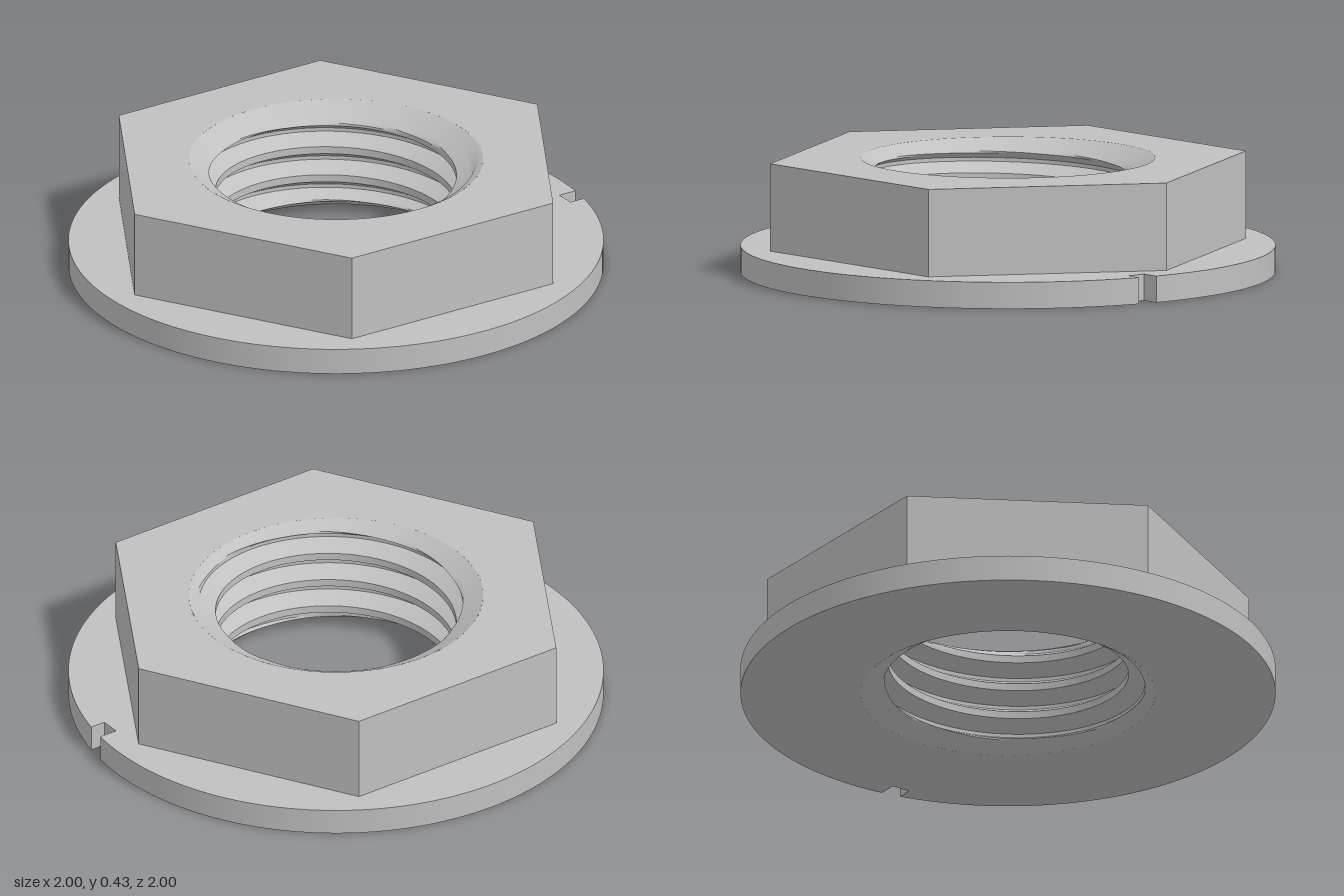
import * as THREE from 'three';
import { toCreasedNormals } from 'three/addons/utils/BufferGeometryUtils.js';

const HEIGHT = 0.43, FLANGE = 0.1, HEX_R = 0.905;
const BORE = 0.45, ROOT = 0.512, MOUTH = 0.55, PITCH = 0.115;
const SEGMENTS = 96;

// Extrude a plan shape upwards from y0, with the bore cut through it
function plate(shape, y0, y1) {
  shape.holes.push(new THREE.Path().absarc(0, 0, MOUTH, 0, Math.PI * 2, true));
  const geo = new THREE.ExtrudeGeometry(shape, { depth: y1 - y0, bevelEnabled: false, curveSegments: SEGMENTS });
  geo.rotateX(-Math.PI / 2).translate(0, y0, 0);
  return toCreasedNormals(geo, 0.4);
}

// Round flange with a small square notch in its rim
function flangeShape() {
  const shape = new THREE.Shape();
  shape.absarc(0, 0, 1, -Math.asin(0.125), Math.PI * 2 - Math.asin(0.2), false);
  shape.lineTo(0.92, -0.2);
  shape.lineTo(0.92, -0.125);
  shape.closePath();
  return shape;
}

function hexShape() {
  const points = [];
  for (let i = 0; i < 6; i++) {
    const a = (i * Math.PI) / 3;
    points.push(new THREE.Vector2(HEX_R * Math.cos(a), HEX_R * Math.sin(a)));
  }
  return new THREE.Shape(points);
}

// Bore radius: a trapezoid thread, cut away by a 120 degree countersink at each end
function boreRadius(phase, y) {
  const t = Math.abs(phase - Math.round(phase));
  const flank = THREE.MathUtils.clamp((t - 0.125) / 0.3125, 0, 1);
  const thread = BORE + (ROOT - BORE) * flank;
  const countersink = MOUTH - Math.min(y, HEIGHT - y) * Math.sqrt(3);
  return Math.max(thread, countersink);
}

// Right-hand internal thread: rows follow the helix and are clipped at both faces
function threadGeometry() {
  const steps = [-0.4375, -0.375, -0.3125, -0.25, -0.1875, -0.125, -0.04, 0.04,
    0.125, 0.1875, 0.25, 0.3125, 0.375, 0.4375];
  const phases = [];
  for (let turn = -6; turn <= 2; turn++) for (const s of steps) phases.push(turn + s);

  const positions = [];
  const point = (phase, j) => {
    const a = (j / SEGMENTS) * Math.PI * 2;
    const centre = 0.457 + PITCH * (j / SEGMENTS + 1 / 6);
    const y = THREE.MathUtils.clamp(centre + phase * PITCH, 0, HEIGHT);
    const r = boreRadius((y - centre) / PITCH, y);
    return [r * Math.cos(a), y, -r * Math.sin(a)];
  };
  const triangle = (a, b, c) => {
    const flat = (p, q) => Math.hypot(p[0] - q[0], p[1] - q[1], p[2] - q[2]) < 1e-7;
    const outside = [0, HEIGHT].some((h) => a[1] === h && b[1] === h && c[1] === h);
    if (!outside && !flat(a, b) && !flat(b, c) && !flat(c, a)) positions.push(...a, ...b, ...c);
  };
  for (let j = 0; j < SEGMENTS; j++) {
    for (let i = 0; i < phases.length - 1; i++) {
      const a = point(phases[i], j), b = point(phases[i + 1], j);
      const c = point(phases[i + 1], j + 1), d = point(phases[i], j + 1);
      triangle(a, b, d);
      triangle(b, c, d);
    }
  }
  const geo = new THREE.BufferGeometry();
  geo.setAttribute('position', new THREE.Float32BufferAttribute(positions, 3));
  return toCreasedNormals(geo, 0.5);
}

export function createModel() {
  const steel = new THREE.MeshStandardMaterial({ color: 0xc0c0c0 });
  steel.name = 'light grey steel';

  const group = new THREE.Group();
  group.name = 'flangedNut';
  const add = (name, geometry) => {
    const mesh = new THREE.Mesh(geometry, steel);
    mesh.name = name;
    group.add(mesh);
  };
  add('flange', plate(flangeShape(), 0, FLANGE));
  add('hexBody', plate(hexShape(), FLANGE, HEIGHT));
  add('threadedBore', threadGeometry());
  return group;
}
